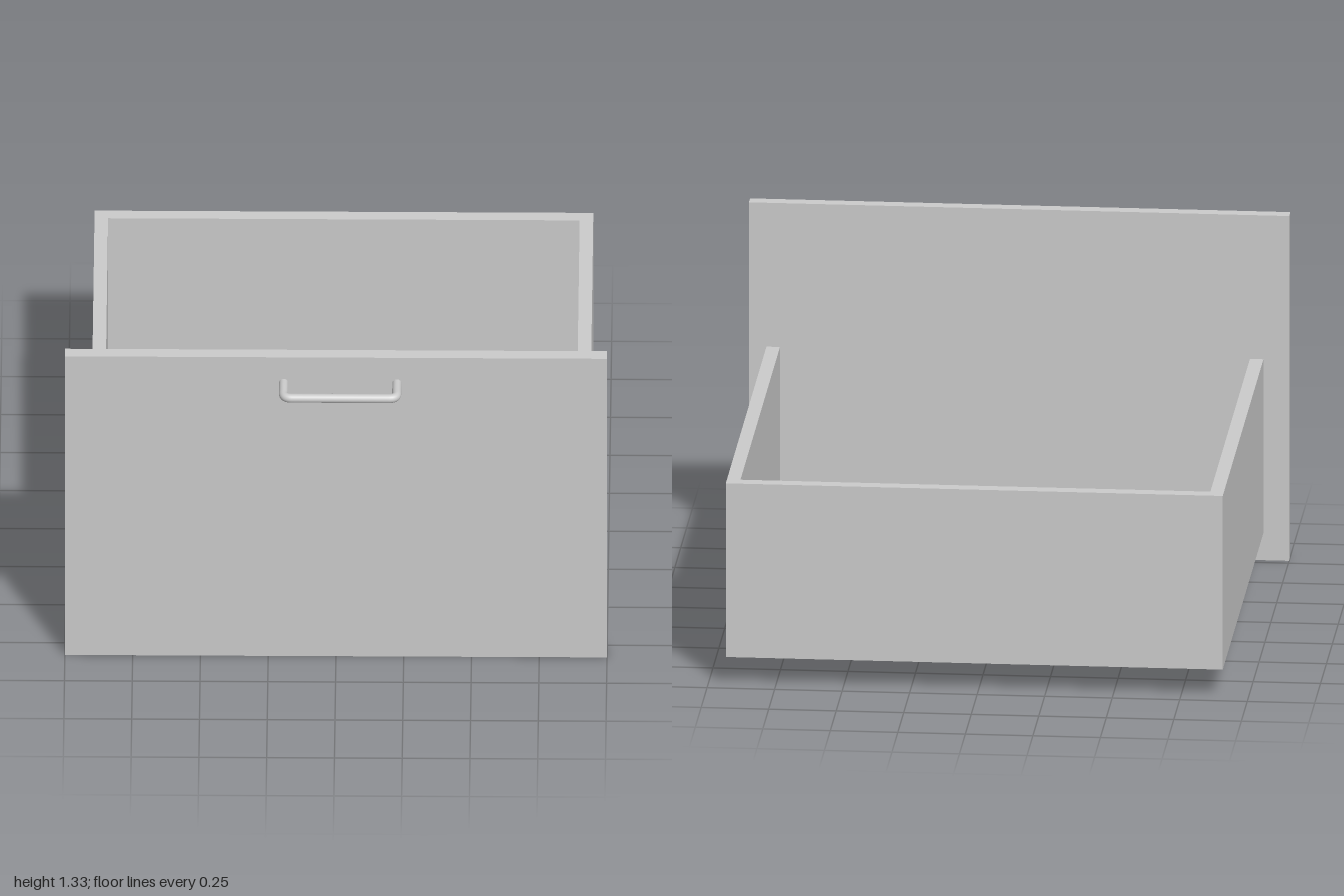
import * as THREE from 'three';

const material = new THREE.MeshStandardMaterial({ color: 0xcccccc });

// Box given by its lower and upper corners
function board(name, [x0, y0, z0], [x1, y1, z1]) {
  const geometry = new THREE.BoxGeometry(x1 - x0, y1 - y0, z1 - z0);
  const mesh = new THREE.Mesh(geometry, material);
  mesh.position.set((x0 + x1) / 2, (y0 + y1) / 2, (z0 + z1) / 2);
  mesh.name = name;
  return mesh;
}

// Bow handle: two legs and a bar joined by rounded corners
function createHandle(left, right, y, back, front) {
  const bend = 0.03;
  const p = (x, z) => new THREE.Vector3(x, y, z);
  const path = new THREE.CurvePath();
  path.add(new THREE.LineCurve3(p(left, back), p(left, front - bend)));
  path.add(new THREE.QuadraticBezierCurve3(p(left, front - bend), p(left, front), p(left + bend, front)));
  path.add(new THREE.LineCurve3(p(left + bend, front), p(right - bend, front)));
  path.add(new THREE.QuadraticBezierCurve3(p(right - bend, front), p(right, front), p(right, front - bend)));
  path.add(new THREE.LineCurve3(p(right, front - bend), p(right, back)));
  const mesh = new THREE.Mesh(new THREE.TubeGeometry(path, 120, 0.017, 16), material);
  mesh.name = 'handle';
  return mesh;
}

export function createModel() {
  const model = new THREE.Group();
  model.name = 'drawer';

  const t = 0.05; // board thickness
  const left = -0.905, right = 0.935;
  const bottom = 0.105, top = 0.775;
  const back = -0.95, front = 0.78;

  // Front panel, standing taller and wider than the tray
  model.add(board('frontPanel', [-1, 0, front], [1, 1.33, front + t]));

  // Tray: two sides, back and floor, closed by the panel
  model.add(board('rightSide', [left, bottom, back], [left + t, top, front]));
  model.add(board('leftSide', [right - t, bottom, back], [right, top, front]));
  model.add(board('backWall', [left + t, bottom, back], [right - t, top, back + t]));
  model.add(board('floor', [left + t, bottom, back + t], [right - t, bottom + 0.04, front]));

  model.add(createHandle(-0.193, 0.225, 1.217, front + t - 0.01, 0.931));
  return model;
}
